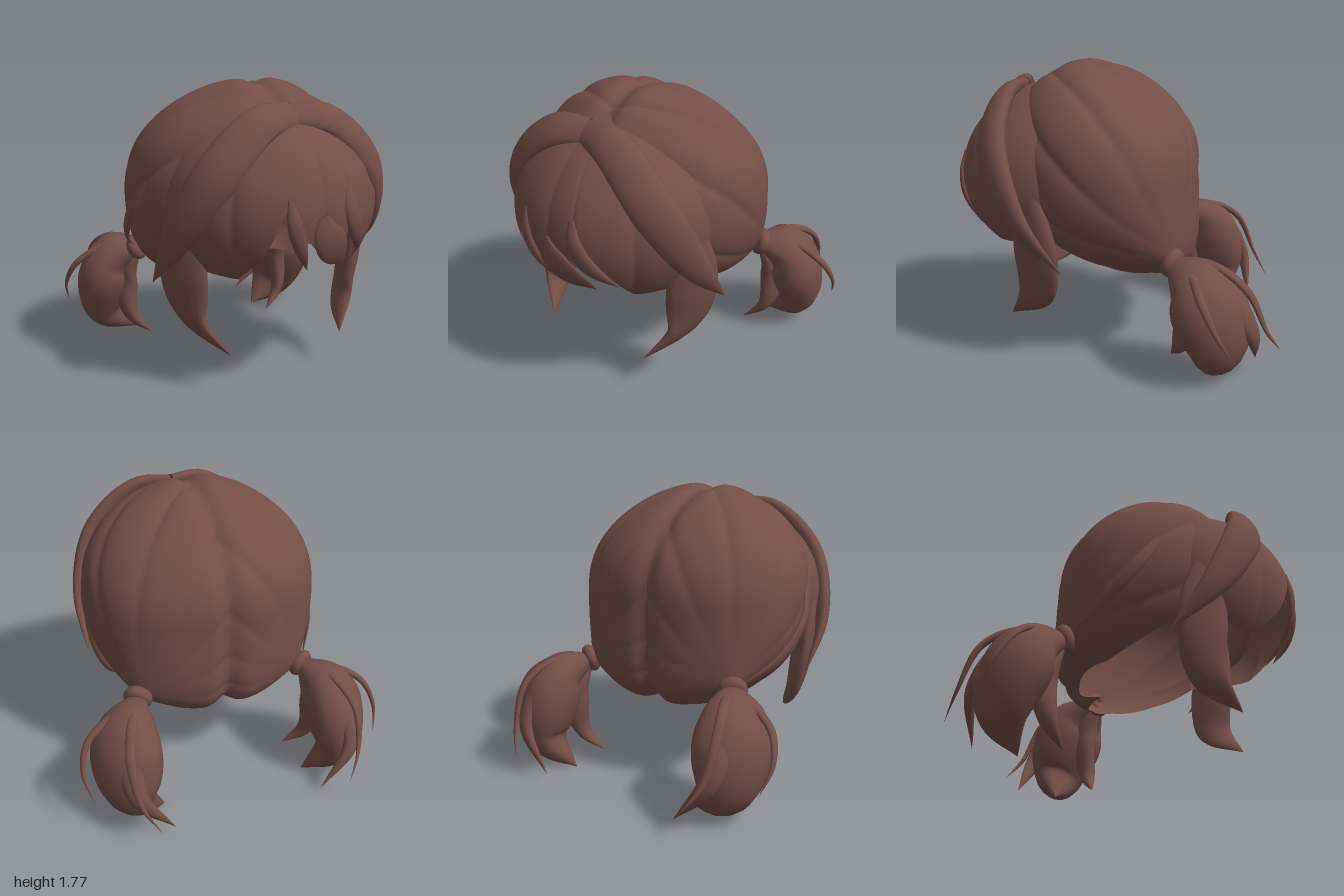
import * as THREE from 'three';

const V = (x, y, z) => new THREE.Vector3(x, y, z);
const hair = new THREE.MeshStandardMaterial({ color: 0x734e47, side: THREE.DoubleSide });
hair.name = 'brown hair';

const HEAD = V(0, 1.1, 0.1);
const TAIL = V(0.55, 0.35, -0.48);
const TIE = V(0.54, 0.69, -0.36);
const mirrored = (p, side) => V(p.x * side, p.y, p.z);

// Piecewise-linear lookup in a list of [x, value] pairs
function lookup(table, x) {
  const i = table.findIndex(p => x <= p[0]);
  if (i === 0) return table[0][1];
  if (i < 0) return table[table.length - 1][1];
  const [x0, a] = table[i - 1], [x1, b] = table[i];
  return a + (b - a) * (x - x0) / (x1 - x0);
}

function finish(pos, idx) {
  const g = new THREE.BufferGeometry();
  g.setAttribute('position', new THREE.Float32BufferAttribute(pos, 3));
  g.setIndex(idx);
  g.computeVertexNormals();
  return g;
}

// Open surface from a point rule f(u, v)
function patch(f, nu, nv) {
  const pos = [], idx = [];
  for (let i = 0; i <= nu; i++) {
    for (let j = 0; j <= nv; j++) {
      pos.push(...f(i / nu, j / nv).toArray());
      if (i === nu || j === nv) continue;
      const a = i * (nv + 1) + j, b = a + nv + 1;
      idx.push(a, a + 1, b, b, a + 1, b + 1);
    }
  }
  return finish(pos, idx);
}

// Lock swept along points, lying flat around a centre: it swells from its root, then tapers to a tip
function lock(points, width, thick, centre, side = 1, root = 0.3) {
  const curve = new THREE.CatmullRomCurve3(points.map(p => mirrored(p, side)));
  const c = mirrored(centre, side);
  const n = 36, m = 16, peak = 0.4, pos = [], idx = [];
  for (let i = 0; i <= n; i++) {
    const t = i / n, p = curve.getPointAt(t), T = curve.getTangentAt(t);
    const N = p.clone().sub(c);
    N.addScaledVector(T, -N.dot(T)).normalize();
    const W = T.clone().cross(N);
    const s = t < peak
      ? root + (1 - root) * Math.sin(t / peak * Math.PI / 2)
      : Math.cos((t - peak) / (1 - peak) * Math.PI / 2) + 0.005;
    for (let j = 0; j < m; j++) {
      const a = j / m * Math.PI * 2;
      const q = p.clone().addScaledVector(N, thick * s * Math.cos(a)).addScaledVector(W, width * s * Math.sin(a));
      pos.push(q.x, q.y, q.z);
      if (i === n) continue;
      const k = i * m + j, l = i * m + (j + 1) % m;
      idx.push(k, l, k + m, k + m, l, l + m);
    }
  }
  return finish(pos, idx);
}

// Main cap: squashed sphere with grooves that gather at the two ties
const capEdge = [[0, 0.3], [0.2, 0.45], [0.33, 0.65], [0.5, 0.79], [1, 0.96]];
const tieAxis = TIE.clone().sub(V(0, 1.15, 0.08)).normalize();
const axisA = V(0, 1, 0).cross(tieAxis).normalize();
const axisB = tieAxis.clone().cross(axisA);
function capPoint(u, v) {
  const phi = (u * 2 - 1) * Math.PI;
  const th = Math.max(0.001, v * Math.PI * lookup(capEdge, Math.abs(phi) / Math.PI));
  const d = V(Math.sin(th) * Math.sin(phi), Math.cos(th), Math.sin(th) * Math.cos(phi));
  const e = 2.2 - 0.3 * d.y, rz = d.z > 0 ? 0.62 : 0.58;
  let r = (Math.abs(d.x / 0.74) ** e + Math.abs(d.y / 0.66) ** e + Math.abs(d.z / rz) ** e) ** (-1 / e);
  const half = V(Math.abs(d.x), d.y, d.z);
  const a = Math.atan2(half.dot(axisA), half.dot(axisB));
  const fade = 1 - half.dot(tieAxis) ** 2;
  r *= 1 - 0.03 * fade * (1 - Math.abs(Math.sin(6 * a))) ** 2;
  r *= 1 - 0.06 * Math.exp(-((d.x * r / 0.07) ** 2));
  const p = d.multiplyScalar(r);
  const k = p.y / 0.66;
  p.z += 0.08 + (k > 0 ? 0.12 : -0.25) * k * k;
  p.y += 1.15;
  const t = mirrored(TIE, p.x < 0 ? -1 : 1);
  return p.lerp(t, 0.65 * Math.exp(-((p.distanceTo(t) / 0.19) ** 2)));
}

// Fringe: rounded front shell with a jagged lower edge
const fringeEdge = [[-0.66, 0.78], [-0.47, 0.74], [-0.33, 0.9], [-0.2, 1.2], [-0.08, 0.97],
  [0.03, 0.87], [0.17, 0.82], [0.18, 1.15], [0.24, 1.1], [0.47, 0.75], [0.66, 0.78]];
function fringePoint(u, v) {
  const phi = (u * 2 - 1) * Math.PI * 0.53;
  const low = Math.acos((lookup(fringeEdge, 0.66 * Math.sin(phi)) - 1.1) / 0.58);
  const th = 0.12 + (low - 0.12) * v;
  const crease = 1 - 0.025 * (1 - Math.abs(Math.sin(phi * 4))) ** 3 * Math.sin(th);
  const s = Math.sin(th) * crease;
  return V(0.67 * s * Math.sin(phi), 1.1 + 0.58 * Math.cos(th), 0.35 + 0.65 * s * Math.cos(phi));
}

// Curved tip lying on the fringe shell, swinging from x0 at its root to x1 at its point
function fringeTip(x0, y0, x1, y1, width) {
  const points = [0, 1, 2, 3].map(i => {
    const t = i / 3, x = x0 + (x1 - x0) * t ** 1.8, y = y0 + (y1 - y0) * t;
    return V(x, y, 0.35 + 0.65 * Math.sqrt(1 - (x / 0.67) ** 2 - ((y - 1.1) / 0.58) ** 2));
  });
  return lock(points, width, 0.025, HEAD);
}

export function createModel() {
  const model = new THREE.Group();
  model.name = 'pigtailHair';
  const add = (name, geometry) => {
    const mesh = new THREE.Mesh(geometry, hair);
    mesh.name = name;
    model.add(mesh);
    return mesh;
  };

  add('hairCap', patch(capPoint, 192, 96));
  add('fringe', patch(fringePoint, 160, 32));
  add('rightFringeTip', fringeTip(-0.2, 1.22, -0.05, 0.8, 0.045));
  add('middleFringeTip', fringeTip(-0.02, 1.12, 0.23, 0.8, 0.1));
  add('leftFringeTip', fringeTip(0.16, 1.25, 0.36, 0.84, 0.055));

  for (const [label, side] of [['left', 1], ['right', -1]]) {
    const addLock = (name, points, width, thick, centre, root) =>
      add(label + name, lock(points, width, thick, centre, side, root));

    // Locks framing the face
    addLock('PartedLock', [V(-0.01, 1.62, 0.64), V(0.22, 1.59, 0.69), V(0.5, 1.33, 0.7),
      V(0.67, 0.95, 0.53), V(0.7, 0.65, 0.27)], 0.13, 0.065, HEAD, 0.65);
    addLock('SideLock', [V(0.6, 1.15, 0.5), V(0.58, 0.72, 0.44), V(0.52, 0.45, 0.46),
      V(0.38, 0.26, 0.64)], 0.16, 0.065, HEAD, 0.5);

    // Pigtail: full body, two clumps and two wisps, all rooted at the tie
    addLock('PigtailBody', [TIE, V(0.65, 0.6, -0.51), V(0.69, 0.42, -0.6), V(0.67, 0.2, -0.65),
      V(0.47, 0.03, -0.61)], 0.24, 0.18, V(0.4, 0.35, -0.4), 0.2);
    addLock('PigtailInnerClump', [TIE, V(0.59, 0.45, -0.45), V(0.58, 0.2, -0.42),
      V(0.45, 0.06, -0.36)], 0.08, 0.06, TAIL);
    addLock('PigtailBackClump', [TIE, V(0.66, 0.62, -0.64), V(0.69, 0.35, -0.82),
      V(0.48, 0.08, -0.87)], 0.08, 0.05, TAIL);
    addLock('OuterWisp', [TIE, V(0.72, 0.69, -0.47), V(0.9, 0.58, -0.54), V(0.955, 0.43, -0.62),
      V(0.92, 0.27, -0.71)], 0.027, 0.02, TAIL, 0.7);
    addLock('BackWisp', [TIE, V(0.64, 0.72, -0.6), V(0.71, 0.6, -0.79), V(0.69, 0.35, -0.91),
      V(0.6, 0.2, -1)], 0.03, 0.02, TAIL, 0.7);

    // Hair tie ring facing along the start of the pigtail
    const tie = add(label + 'HairTie', new THREE.TorusGeometry(0.05, 0.04, 14, 28));
    tie.position.copy(mirrored(TIE, side));
    tie.quaternion.setFromUnitVectors(V(0, 0, 1), V(0.5 * side, -0.3, -0.8).normalize());
  }

  // Loose strand on the right only
  add('looseStrand', lock([V(-0.68, 1.3, 0.25), V(-0.755, 1.05, 0.1), V(-0.71, 0.85, -0.1),
    V(-0.56, 0.7, -0.34)], 0.04, 0.015, HEAD));
  return model;
}
